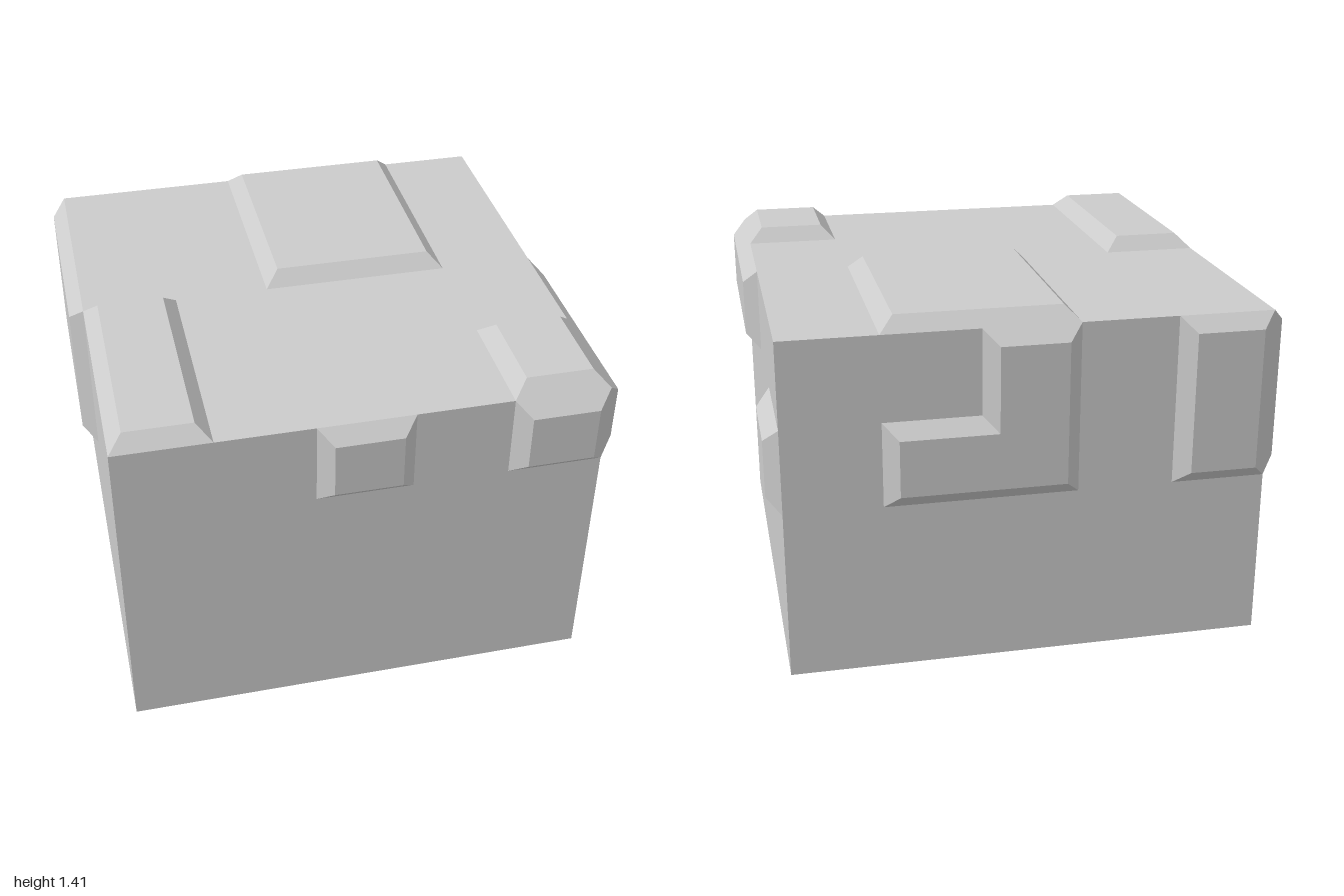
import * as THREE from 'three';
import { mergeGeometries } from 'three/addons/utils/BufferGeometryUtils.js';

const WIDTH = 1.886, HEIGHT = 1.355, BEVEL = 0.057;
const material = new THREE.MeshStandardMaterial({ color: 0xcccccc, flatShading: true, side: THREE.DoubleSide });

const rect = (a, b, c, d) => [[a, b], [c, b], [c, d], [a, d]];

// Even-odd test of a point against a polygon
function inside(x, y, poly) {
  let hit = false;
  poly.forEach(([ax, ay], i) => {
    const [bx, by] = poly[(i + 1) % poly.length];
    if ((ay > y) !== (by > y) && x < ax + ((y - ay) / (by - ay)) * (bx - ax)) hit = !hit;
  });
  return hit;
}

// Raised plate: bevelled rim plus flat cap over a counter-clockwise, right-angled outline
function plateGeometry(outline) {
  const n = outline.length;
  const normal = (a, b) => new THREE.Vector2(a.y - b.y, b.x - a.x).normalize();
  const inner = outline.map((p, i) => {
    const prev = outline[(i + n - 1) % n], next = outline[(i + 1) % n];
    return p.clone().addScaledVector(normal(prev, p), BEVEL).addScaledVector(normal(p, next), BEVEL);
  });
  const pos = [];
  for (let i = 0; i < n; i++) {
    const j = (i + 1) % n;
    const a = [outline[i].x, outline[i].y, 0], b = [outline[j].x, outline[j].y, 0];
    const c = [inner[j].x, inner[j].y, BEVEL], d = [inner[i].x, inner[i].y, BEVEL];
    pos.push(...a, ...b, ...c, ...a, ...c, ...d);
  }
  const rim = new THREE.BufferGeometry();
  rim.setAttribute('position', new THREE.Float32BufferAttribute(pos, 3));
  const cap = new THREE.ShapeGeometry(new THREE.Shape(inner)).translate(0, 0, BEVEL).toNonIndexed();
  cap.deleteAttribute('uv');
  cap.deleteAttribute('normal');
  const geo = mergeGeometries([rim, cap]);
  geo.computeVertexNormals();
  return geo;
}

// One side of the block: a grid of cells, left open beneath the raised plates
function buildSide(name, w, h, cols, rows, plates) {
  const side = new THREE.Group();
  side.name = name;
  const cw = w / cols, ch = h / rows, cells = [];
  for (let i = 0; i < cols; i++) {
    for (let j = 0; j < rows; j++) {
      if (plates.some((p) => inside(i + 0.5, j + 0.5, p))) continue;
      cells.push(new THREE.PlaneGeometry(cw, ch).translate((i + 0.5) * cw - w / 2, (j + 0.5) * ch - h / 2, 0));
    }
  }
  const wall = new THREE.Mesh(mergeGeometries(cells), material);
  wall.name = name + 'Wall';
  side.add(wall);
  plates.forEach((p, k) => {
    const outline = p.map(([u, v]) => new THREE.Vector2(u * cw - w / 2, v * ch - h / 2));
    const plate = new THREE.Mesh(plateGeometry(outline), material);
    plate.name = name + 'Plate' + (k + 1);
    side.add(plate);
  });
  return side;
}

export function createModel() {
  const model = new THREE.Group();
  model.name = 'stoneBlock';

  // Four upright sides, plates given in grid cells from the lower left of each side
  const sides = [
    ['front', 5, [rect(2, 3, 3, 4), rect(4, 3, 5, 4)]],
    ['right', 4, [rect(0, 3, 2, 4), rect(3, 2, 4, 3)]],
    ['back', 5, [[[1, 2], [3, 2], [3, 4], [2, 4], [2, 3], [1, 3]], rect(4, 2, 5, 4)]],
    ['left', 4, [rect(0, 2, 2, 4)]],
  ];
  sides.forEach(([name, cols, plates], i) => {
    const side = buildSide(name, WIDTH, HEIGHT, cols, 4, plates);
    const angle = (i * Math.PI) / 2;
    side.rotation.y = angle;
    side.position.set(Math.sin(angle) * WIDTH / 2, HEIGHT / 2, Math.cos(angle) * WIDTH / 2);
    model.add(side);
  });

  // Top; the underside stays open
  const top = buildSide('top', WIDTH, WIDTH, 5, 4, [rect(0, 0, 1, 2), rect(2, 2, 4, 4), rect(4, 0, 5, 1)]);
  top.rotation.x = -Math.PI / 2;
  top.position.y = HEIGHT;
  model.add(top);
  return model;
}
